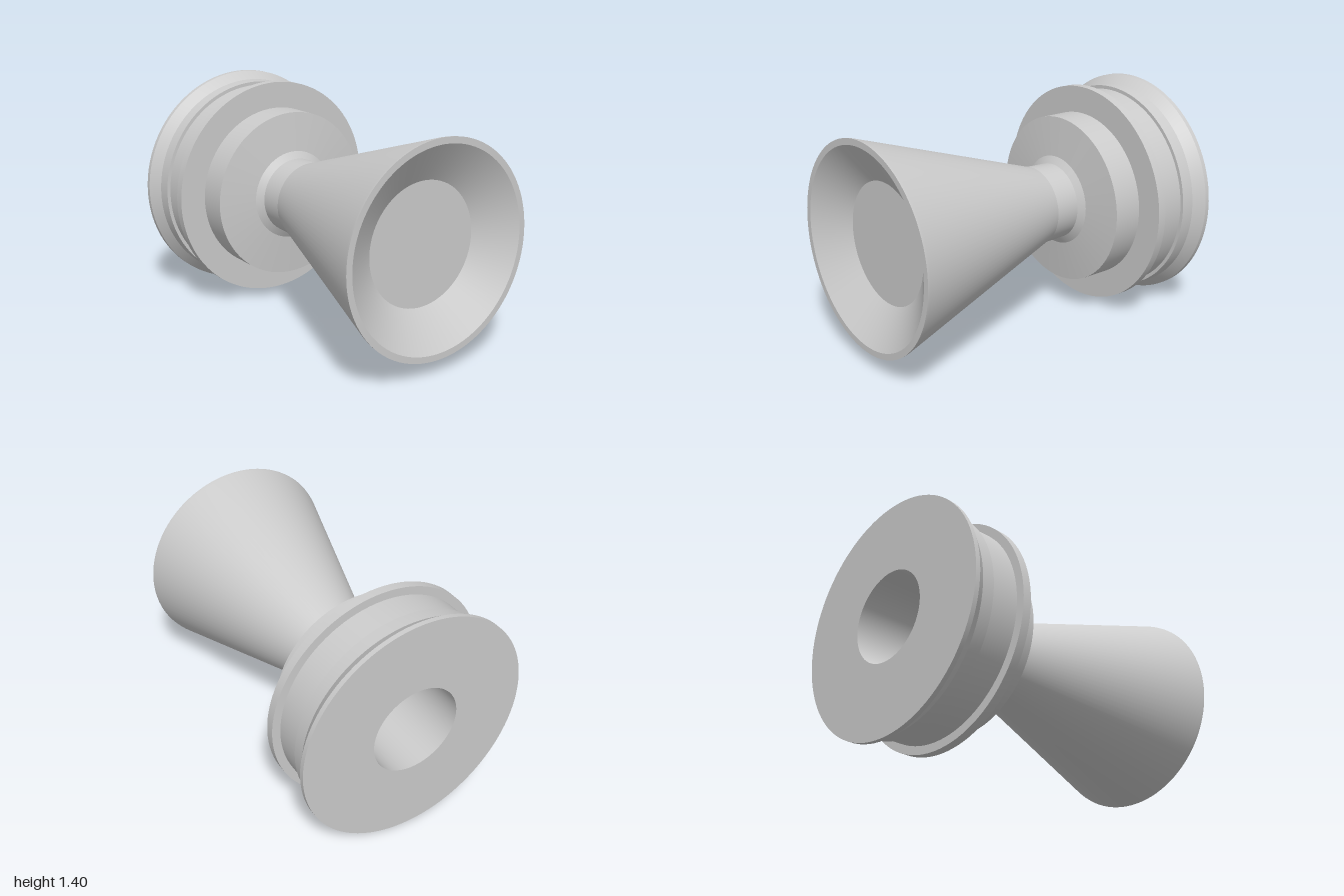
import * as THREE from 'three';
import { toCreasedNormals } from 'three/addons/utils/BufferGeometryUtils.js';

const SEGMENTS = 96;

// Turns a profile of [radius, z] points around the z axis, keeping edges crisp.
function turned(name, profile, material) {
  const points = profile.map(([r, z]) => new THREE.Vector2(r, z));
  const geometry = new THREE.LatheGeometry(points, SEGMENTS);
  geometry.rotateX(Math.PI / 2);
  const mesh = new THREE.Mesh(toCreasedNormals(geometry, 0.25), material);
  mesh.name = name;
  return mesh;
}

export function createModel() {
  const material = new THREE.MeshStandardMaterial({ color: 0xcccccc, side: THREE.DoubleSide });
  const axis = new THREE.Group();
  axis.name = 'turnedBody';

  // Stepped base: blind bore, back flange, step, drum, raised ring, front drum
  axis.add(turned('steppedBase', [
    [0, -0.39], [0.268, -0.39], [0.268, -1],
    [0.7, -1], [0.7, -0.972], [0.652, -0.908],
    [0.648, -0.83], [0.627, -0.83],
    [0.627, -0.645], [0.677, -0.645], [0.677, -0.592],
    [0.515, -0.592], [0.515, -0.408], [0.275, -0.384],
  ], material));

  // Narrow neck with a flared foot
  axis.add(turned('neck', [
    [0.275, -0.384], [0.232, -0.357], [0.237, -0.2],
  ], material));

  // Conical horn with a short lip
  axis.add(turned('horn', [
    [0.237, -0.2], [0.612, 0.982], [0.615, 1], [0.578, 1],
  ], material));

  // Shallow dished recess in the horn's mouth
  axis.add(turned('dish', [
    [0.578, 1], [0.356, 0.85], [0, 0.85],
  ], material));

  // The axis rises very slightly towards the front
  axis.rotation.x = -0.006;
  axis.position.y = 0.709;

  const model = new THREE.Group();
  model.name = 'model';
  model.add(axis);
  return model;
}
